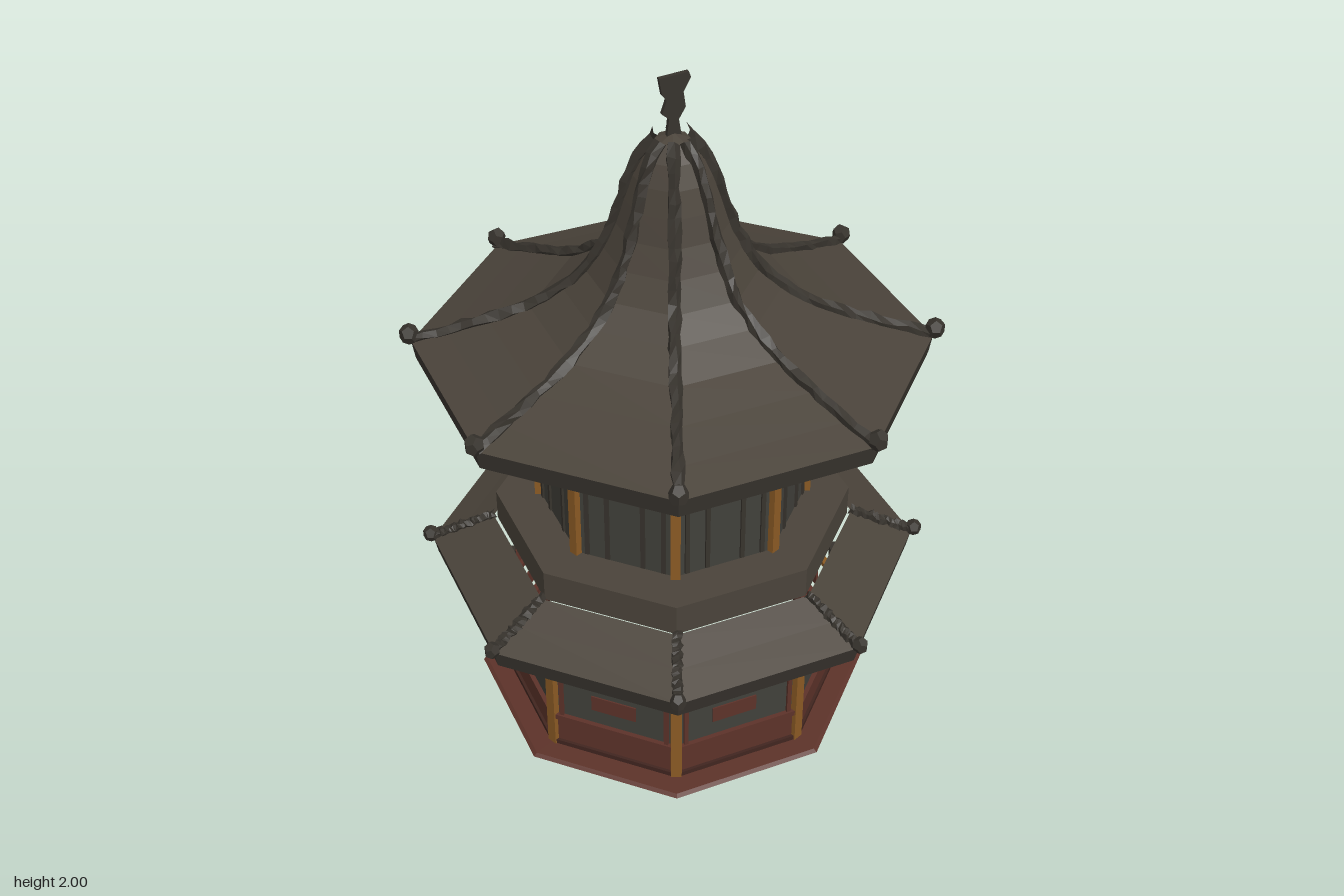
import * as THREE from 'three';

const mat = (name, color) => Object.assign(new THREE.MeshStandardMaterial({ color }), { name });
const C = Math.cos(Math.PI / 8);

export function createModel() {
  const model = new THREE.Group();
  model.name = 'pagoda';
  const tile = mat('roofTile', 0x4a433a);
  const wall = mat('wallGrey', 0x41403a);
  const trim = mat('darkTrim', 0x37332d);
  const red = mat('fadedRed', 0x5c3229);
  const soffitMat = mat('darkRedBrown', 0x41251f);
  const gold = mat('ochre', 0x8a5a24);

  let seed = 7;
  const rand = () => (seed = (seed * 16807) % 2147483647) / 2147483647 - 0.5;

  const add = (name, geo, material, parent = model) => {
    const flat = geo.index ? geo.toNonIndexed() : geo;
    flat.computeVertexNormals();
    const mesh = new THREE.Mesh(flat, material);
    mesh.name = name;
    parent.add(mesh);
    return mesh;
  };
  // Eight-sided shell; profile is [distance to flat side, height], bottom to top
  const octagon = (name, profile, material) => add(name,
    new THREE.LatheGeometry(profile.map(([a, y]) => new THREE.Vector2(a / C, y)), 8, Math.PI / 8), material);
  const box = (name, parent, material, w, h, d, x, y, z) => {
    const mesh = add(name, new THREE.BoxGeometry(w, h, d), material, parent);
    mesh.position.set(x, y, z);
    return mesh;
  };
  // Repeat on the eight flat sides (offset 0) or the eight corners (offset half a step)
  const around = (name, offset, build) => {
    for (let i = 0; i < 8; i++) {
      const g = new THREE.Group();
      g.name = name;
      g.rotation.y = (i + offset) * Math.PI / 4;
      model.add(g);
      build(g, i);
    }
  };

  // Base
  octagon('foot', [[0, 0], [0.325, 0], [0.325, 0.025]], soffitMat);
  octagon('plinth', [[0.32, 0.02], [0.36, 0.03], [0.495, 0.095], [0.515, 0.115], [0.505, 0.122], [0.44, 0.125]], red);

  // Lower storey
  octagon('lowerSkirting', [[0.445, 0.12], [0.445, 0.225]], red);
  octagon('lowerWall', [[0.44, 0.22], [0.44, 0.4]], wall);
  octagon('lowerFrieze', [[0.445, 0.4], [0.455, 0.46], [0.48, 0.47], [0.48, 0.505], [0.51, 0.51], [0.51, 0.54]], wall);
  around('lowerSide', 0, (g, i) => {
    box('lowerRail', g, red, 0.35, 0.016, 0.02, 0, 0.228, 0.443);
    box('upperRail', g, i % 2 ? red : gold, 0.35, 0.014, 0.02, 0, 0.395, 0.446);
    box('skirtingRail', g, soffitMat, 0.36, 0.014, 0.02, 0, 0.132, 0.443);
    for (const s of [-1, 1]) box('panelStile', g, red, 0.012, 0.155, 0.014, s * 0.155, 0.311, 0.441);
    box('paintedPatch', g, red, 0.13, 0.05, 0.006, 0.01 * (i % 3 - 1), 0.31, 0.441);
    const patch = box('friezePatch', g, red, 0.17, 0.04, 0.008, 0.02 * (i % 3 - 1), 0.432, 0.451);
    patch.rotation.x = 0.165;
  });

  // Lower roof with its raised collar
  octagon('lowerSoffit', [[0.44, 0.54], [0.61, 0.535]].reverse().map(([a, y]) => [a, y]).reverse(), soffitMat);
  octagon('lowerEave', [[0.61, 0.535], [0.62, 0.585]], trim);
  octagon('lowerRoof', [[0.62, 0.585], [0.54, 0.622], [0.46, 0.662]], tile);
  octagon('collar', [[0.45, 0.655], [0.45, 0.745], [0.33, 0.745]], tile);

  // Upper storey
  octagon('upperWall', [[0.338, 0.74], [0.338, 1.01]], wall);
  octagon('upperBand', [[0.345, 1.0], [0.348, 1.055]], red);
  octagon('upperCornice', [[0.348, 1.055], [0.375, 1.1], [0.39, 1.105], [0.39, 1.145], [0.43, 1.15], [0.43, 1.2]], wall);
  around('upperSide', 0, (g) => {
    box('topRail', g, soffitMat, 0.27, 0.012, 0.014, 0, 1.048, 0.346);
    for (const s of [-1, 1]) {
      box('doorStile', g, trim, 0.012, 0.25, 0.012, s * 0.05, 0.875, 0.338);
      box('sideStile', g, trim, 0.012, 0.25, 0.012, s * 0.108, 0.875, 0.338);
    }
  });

  // Upper roof
  const roofProfile = [[0.628, 1.248], [0.54, 1.275], [0.44, 1.31], [0.34, 1.35], [0.26, 1.405], [0.205, 1.46],
    [0.165, 1.53], [0.135, 1.6], [0.115, 1.67], [0.095, 1.735], [0.07, 1.79], [0.04, 1.83], [0, 1.846]];
  octagon('upperSoffit', [[0.38, 1.2], [0.62, 1.195]], soffitMat);
  octagon('upperEave', [[0.62, 1.195], [0.628, 1.248]], trim);
  octagon('upperRoof', roofProfile, tile);

  // Rough rounded ridge following a roof corner
  const ridge = (name, parent, profile, radius) => {
    const pts = profile.map(([a, y]) => new THREE.Vector3(0, y + 0.004, a / C));
    const geo = new THREE.TubeGeometry(new THREE.CatmullRomCurve3(pts), 26, radius, 5);
    const p = geo.attributes.position;
    for (let k = 0; k < p.count; k++) {
      if (k % 6 === 5) p.setXYZ(k, p.getX(k - 5), p.getY(k - 5), p.getZ(k - 5));
      else p.setXYZ(k, p.getX(k) + rand() * 0.009, p.getY(k) + rand() * 0.009, p.getZ(k) + rand() * 0.009);
    }
    add(name, geo, trim, parent);
  };
  const knob = (parent, y, z, s) => {
    const mesh = add('cornerKnob', new THREE.DodecahedronGeometry(s), trim, parent);
    mesh.position.set(0, y, z);
    mesh.scale.set(0.95, 1.1, 1);
  };
  // Stepped corner bracket, drawn in side outline and given thickness
  const bracket = (parent, r, y, reach, h) => {
    const shape = new THREE.Shape([[0, 0], [0.03, 0.01], [reach * 0.6, h * 0.55], [reach, h * 0.66],
      [reach, h], [-0.03, h], [-0.03, 0]].map(([a, b]) => new THREE.Vector2(a, b)));
    const geo = new THREE.ExtrudeGeometry(shape, { depth: 0.036, bevelEnabled: false });
    geo.translate(0, 0, -0.018).rotateY(-Math.PI / 2).translate(0, y, r);
    add('cornerBracket', geo, trim, parent);
  };
  around('corner', 0.5, (g) => {
    box('lowerPost', g, gold, 0.03, 0.28, 0.028, 0, 0.26, 0.474);
    box('upperPost', g, gold, 0.026, 0.3, 0.026, 0, 0.895, 0.366);
    bracket(g, 0.475, 0.4, 0.085, 0.135);
    bracket(g, 0.375, 1.05, 0.145, 0.145);
    ridge('upperRidge', g, roofProfile.slice(0, -1), 0.017);
    ridge('lowerRidge', g, [[0.62, 0.59], [0.54, 0.625], [0.455, 0.665]], 0.014);
    knob(g, 1.27, 0.683, 0.027);
    knob(g, 0.6, 0.677, 0.023);
  });

  // Flat ornament at the peak
  const crest = new THREE.Shape([[-0.018, 1.83], [0.022, 1.83], [0.014, 1.88], [0.032, 1.91], [0.026, 1.95],
    [0.045, 1.985], [0.04, 2], [-0.038, 1.995], [-0.03, 1.95], [-0.018, 1.935], [-0.03, 1.9], [-0.012, 1.885]]
    .map(([x, y]) => new THREE.Vector2(x, y)));
  add('peakOrnament', new THREE.ExtrudeGeometry(crest, { depth: 0.012, bevelEnabled: false }).translate(0, 0, -0.006), trim);
  return model;
}
